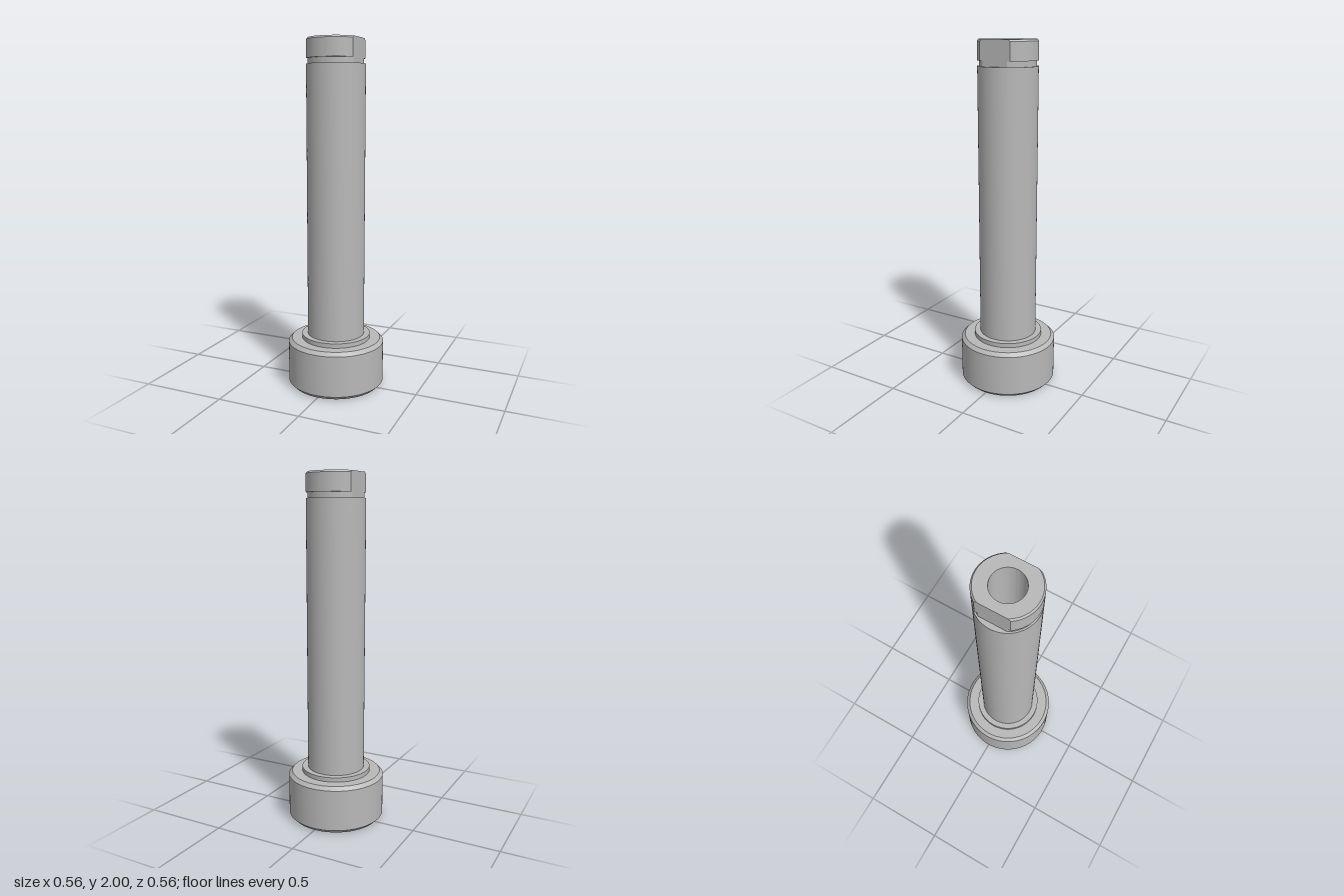
import * as THREE from 'three';
import { toCreasedNormals } from 'three/addons/utils/BufferGeometryUtils.js';

const BORE = 0.0875, FLAT = 0.138, SOCKET_DEPTH = 0.2;

// Skin between closed rings of [x, y, z]; rings listed upward face out, downward face in
function loft(rings) {
  const pos = [];
  for (let r = 0; r + 1 < rings.length; r++) {
    const lo = rings[r], hi = rings[r + 1], n = lo.length;
    for (let i = 0; i < n; i++) {
      const j = (i + 1) % n;
      pos.push(...lo[i], ...hi[i], ...lo[j], ...lo[j], ...hi[i], ...hi[j]);
    }
  }
  const g = new THREE.BufferGeometry();
  g.setAttribute('position', new THREE.Float32BufferAttribute(pos, 3));
  return toCreasedNormals(g, 0.4);
}

// Circle with two flats at x = +-FLAT
function flattedRing(radius, steps = 40) {
  const a = Math.acos(FLAT / radius), pts = [];
  for (const turn of [0, Math.PI]) {
    for (let i = 0; i <= steps; i++) {
      const t = turn + a + (Math.PI - 2 * a) * i / steps;
      pts.push(new THREE.Vector2(radius * Math.cos(t), radius * Math.sin(t)));
    }
  }
  return pts;
}

// Six-lobed star with lobes on the z axis
function lobedRing(steps = 144) {
  return Array.from({ length: steps }, (_, i) => {
    const t = i / steps * Math.PI * 2;
    const r = 0.172 - 0.028 * Math.cos(6 * t);
    return new THREE.Vector2(r * Math.cos(t), r * Math.sin(t));
  });
}

function circle(radius, steps = 96) {
  return Array.from({ length: steps }, (_, i) => {
    const t = i / steps * Math.PI * 2;
    return new THREE.Vector2(radius * Math.cos(t), radius * Math.sin(t));
  });
}

const atHeight = (pts, y) => pts.map(p => [p.x, y, p.y]);

// Flat horizontal face with one hole
function plate(outer, hole, y, up) {
  const shape = new THREE.Shape(outer);
  shape.holes.push(new THREE.Path(hole));
  return new THREE.ShapeGeometry(shape).rotateX(up ? -Math.PI / 2 : Math.PI / 2).translate(0, y, 0);
}

function lathe(profile) {
  const pts = profile.map(([x, y]) => new THREE.Vector2(x, y));
  return toCreasedNormals(new THREE.LatheGeometry(pts, 96), 0.4);
}

export function createModel() {
  const group = new THREE.Group();
  const steel = new THREE.MeshStandardMaterial({ color: 0xb8b8b8 });
  steel.name = 'grey steel';
  const add = (name, geometry) => {
    const mesh = new THREE.Mesh(geometry, steel);
    mesh.name = name;
    group.add(mesh);
  };

  // Chamfered head, collar and shaft
  add('head', lathe([[0.258, 0], [0.28, 0.022], [0.28, 0.26], [0.26, 0.28], [0.2, 0.28]]));
  add('collar', lathe([[0.2, 0.28], [0.2, 0.306], [0.166, 0.306]]));
  add('shaft', lathe([[0.166, 0.306], [0.166, 1.86], [BORE, 1.86]]));

  // Tip with two flats, a groove below and a chamfer on top
  const tip = [[1.86, 0.157], [1.89, 0.157], [1.89, 0.166], [1.99, 0.166], [2, 0.158]];
  add('tip', loft(tip.map(([y, r]) => atHeight(flattedRing(r), y))));
  add('tipFace', plate(flattedRing(0.158), circle(BORE), 2, true));

  // Through bore
  add('bore', lathe([[BORE, 2], [BORE, SOCKET_DEPTH]]));

  // Star socket in the underside of the head
  add('headFace', plate(circle(0.258), lobedRing(), 0, false));
  add('socketWall', loft([atHeight(lobedRing(), SOCKET_DEPTH), atHeight(lobedRing(), 0)]));
  add('socketFloor', plate(lobedRing(), circle(BORE), SOCKET_DEPTH, false));

  return group;
}
